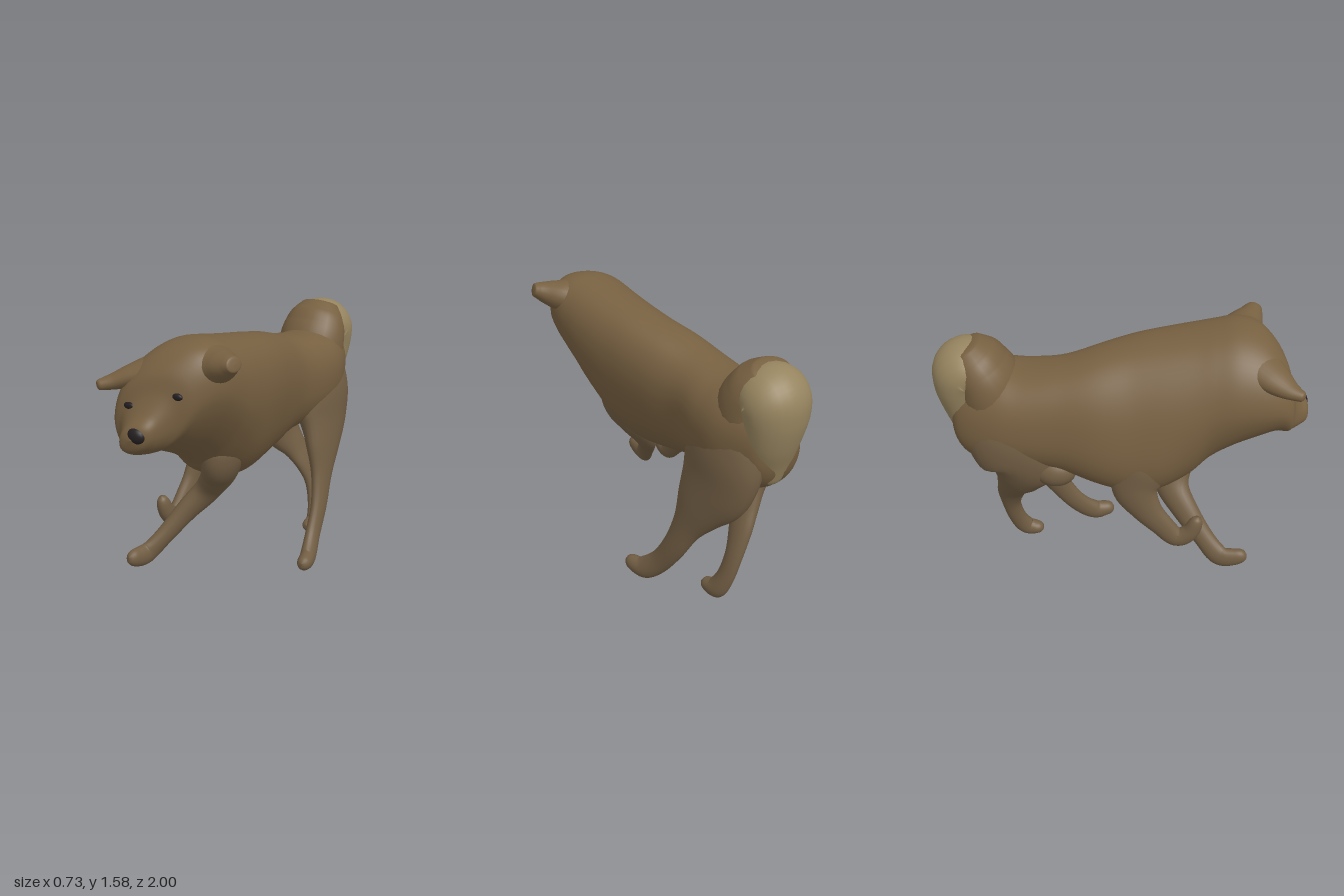
import * as THREE from 'three';

const FUR = 0x776041, LEG = 0x725e44, CREAM = 0x96845f, DARK = 0x241f20;
const X = new THREE.Vector3(1, 0, 0), Z = new THREE.Vector3(0, 0, 1);

// Catmull-Rom blend of rows of numbers, t from 0 to 1
function sample(rows, t) {
  const n = rows.length - 1, i = Math.min(Math.floor(t * n), n - 1), f = t * n - i;
  const [a, b, c, d] = [i - 1, i, i + 1, i + 2].map(k => rows[Math.min(Math.max(k, 0), n)]);
  return b.map((_, k) => 0.5 * (2 * b[k] + (c[k] - a[k]) * f
    + (2 * a[k] - 5 * b[k] + 4 * c[k] - d[k]) * f * f
    + (3 * b[k] - a[k] - 3 * c[k] + d[k]) * f * f * f));
}

// Smooth closed skin over rings; point(t, angle) returns a Vector3
function loft(name, color, steps, sides, point) {
  const pos = [], index = [];
  for (let i = 0; i <= steps; i++) {
    for (let j = 0; j < sides; j++) {
      pos.push(...point(i / steps, (j / sides) * Math.PI * 2).toArray());
      if (i === steps) continue;
      const k = (j + 1) % sides, a = i * sides + j, b = i * sides + k;
      index.push(a, b, b + sides, a, b + sides, a + sides);
    }
  }
  const geo = new THREE.BufferGeometry();
  geo.setAttribute('position', new THREE.Float32BufferAttribute(pos, 3));
  geo.setIndex(index);
  geo.computeVertexNormals();
  const mesh = new THREE.Mesh(geo, new THREE.MeshStandardMaterial({ color }));
  mesh.name = name;
  return mesh;
}

// Tapered limb along rows of [x, y, z, side radius, depth radius], with round ends
function limb(name, color, rows, ref = X) {
  const at = t => new THREE.Vector3(...sample(rows, t));
  return loft(name, color, 56, 24, (t, a) => {
    const r = sample(rows, t), e = 0.08;
    const d = Math.max(0, (e - t) / e, (t - 1 + e) / e);
    const round = Math.sqrt(Math.max(0, 1 - d * d));
    const T = at(Math.min(1, t + 0.01)).sub(at(Math.max(0, t - 0.01))).normalize();
    const S = ref.clone().addScaledVector(T, -ref.dot(T)).normalize();
    const U = T.clone().cross(S);
    return new THREE.Vector3(r[0], r[1], r[2])
      .addScaledVector(S, Math.cos(a) * r[3] * round)
      .addScaledVector(U, Math.sin(a) * r[4] * round);
  });
}

function blob(name, color, x, y, z, rx, ry, rz) {
  const mesh = new THREE.Mesh(new THREE.SphereGeometry(1, 24, 16),
    new THREE.MeshStandardMaterial({ color }));
  mesh.name = name;
  mesh.position.set(x, y, z);
  mesh.scale.set(rx, ry, rz);
  return mesh;
}

// Torso, neck and head as upright slices: [z, centre x, half width, top y, bottom y]
const BODY = [
  [-0.92, -0.06, 0, 1.04, 1.04], [-0.88, -0.06, 0.13, 1.2, 0.89], [-0.8, -0.06, 0.19, 1.3, 0.8],
  [-0.65, -0.055, 0.24, 1.335, 0.77], [-0.5, -0.06, 0.25, 1.335, 0.77], [-0.3, -0.075, 0.238, 1.37, 0.75],
  [-0.1, -0.07, 0.26, 1.43, 0.69], [0.1, -0.05, 0.275, 1.48, 0.65], [0.25, -0.035, 0.285, 1.51, 0.68],
  [0.4, -0.02, 0.285, 1.54, 0.76], [0.5, -0.01, 0.28, 1.56, 0.86], [0.6, -0.005, 0.28, 1.572, 0.94],
  [0.7, 0, 0.27, 1.555, 1.0], [0.78, 0, 0.245, 1.515, 1.04], [0.85, -0.01, 0.195, 1.44, 1.05],
  [0.885, -0.02, 0.135, 1.345, 1.055], [0.93, -0.025, 0.096, 1.265, 1.07],
  [0.975, -0.025, 0.066, 1.215, 1.1], [0.995, -0.025, 0, 1.16, 1.16],
];

function body() {
  const soft = v => Math.sign(v) * Math.pow(Math.abs(v), 0.88);
  const step = THREE.MathUtils.smoothstep;
  return loft('body', FUR, 110, 56, (t, a) => {
    const [z, cx, w, top, bottom] = sample(BODY, t);
    const mid = (top + bottom) / 2, half = Math.max(0, (top - bottom) / 2);
    const dy = soft(Math.sin(a)) * half;
    // the trunk leans, the neck narrows below, and the head turns and tilts
    const turn = step(z, 0.45, 0.88);
    const lean = 0.1 + 0.12 * step(z, -0.4, 0.1) - 0.12 * turn;
    const throat = step(z, 0.2, 0.5) * (1 - step(z, 0.8, 0.9));
    const narrow = 1 - 0.28 * throat * Math.max(0, -Math.sin(a));
    const x = cx + soft(Math.cos(a)) * Math.max(0, w) * narrow + lean * dy;
    return new THREE.Vector3(x, mid + dy + 0.25 * x * turn, z - 0.28 * x * turn);
  });
}

export function createModel() {
  const group = new THREE.Group();
  const trunk = body();
  group.add(trunk);

  // Legs, from the trunk down to the toes
  group.add(
    limb('frontLeftLeg', LEG, [
      [0.06, 1.0, 0.34, 0.08, 0.13], [0.025, 0.86, 0.34, 0.1, 0.15], [-0.035, 0.73, 0.3, 0.09, 0.125],
      [-0.11, 0.61, 0.31, 0.068, 0.095], [-0.19, 0.5, 0.39, 0.055, 0.075], [-0.265, 0.37, 0.5, 0.045, 0.06],
      [-0.315, 0.285, 0.59, 0.04, 0.064], [-0.325, 0.285, 0.67, 0.039, 0.056], [-0.325, 0.315, 0.745, 0.033, 0.04]]),
    limb('frontRightLeg', LEG, [
      [-0.2, 1.02, 0.16, 0.1, 0.15], [-0.235, 0.86, 0.13, 0.115, 0.16], [-0.28, 0.72, 0.11, 0.075, 0.13],
      [-0.305, 0.6, 0.17, 0.05, 0.09], [-0.315, 0.5, 0.255, 0.042, 0.07], [-0.32, 0.415, 0.345, 0.042, 0.06],
      [-0.32, 0.46, 0.42, 0.042, 0.05], [-0.32, 0.57, 0.46, 0.032, 0.035]]),
    limb('hindLeftLeg', LEG, [
      [0.02, 1.24, -0.66, 0.1, 0.17], [0.06, 0.99, -0.625, 0.13, 0.25], [0.095, 0.8, -0.595, 0.107, 0.24],
      [0.14, 0.64, -0.53, 0.075, 0.17], [0.175, 0.48, -0.465, 0.05, 0.1], [0.205, 0.31, -0.39, 0.04, 0.075],
      [0.225, 0.16, -0.29, 0.04, 0.066], [0.255, 0.07, -0.19, 0.045, 0.066], [0.275, 0.064, -0.12, 0.045, 0.052],
      [0.285, 0.08, -0.06, 0.034, 0.038]]),
    limb('hindRightLeg', LEG, [
      [-0.15, 1.15, -0.65, 0.12, 0.17], [-0.19, 0.95, -0.58, 0.125, 0.24], [-0.2, 0.81, -0.52, 0.105, 0.22],
      [-0.17, 0.68, -0.55, 0.08, 0.145], [-0.11, 0.56, -0.605, 0.058, 0.095], [-0.05, 0.45, -0.64, 0.045, 0.078],
      [0.0, 0.32, -0.655, 0.038, 0.057], [0.035, 0.18, -0.635, 0.038, 0.055], [0.058, 0.085, -0.59, 0.042, 0.06],
      [0.062, 0.07, -0.53, 0.042, 0.045], [0.062, 0.085, -0.485, 0.033, 0.032]]),
    blob('hindRightKnee', LEG, -0.215, 0.77, -0.34, 0.085, 0.095, 0.12),
  );

  // Curled tail: broad brown root and pale plume lying over the rump
  group.add(
    limb('tailRoot', FUR, [
      [-0.05, 1.08, -0.67, 0.2, 0.19], [-0.05, 1.23, -0.69, 0.205, 0.175],
      [-0.05, 1.33, -0.73, 0.19, 0.15], [-0.05, 1.4, -0.77, 0.155, 0.12], [-0.05, 1.46, -0.8, 0.1, 0.07]]),
    limb('tailPlume', CREAM, [
      [-0.05, 1.29, -0.67, 0.13, 0.1], [-0.05, 1.32, -0.76, 0.175, 0.15], [-0.05, 1.305, -0.82, 0.185, 0.165],
      [-0.05, 1.23, -0.84, 0.178, 0.15], [-0.05, 1.11, -0.83, 0.155, 0.13],
      [-0.06, 0.98, -0.8, 0.125, 0.11], [-0.06, 0.84, -0.76, 0.08, 0.1]]),
  );

  // Ears, broad at the base and pointing outwards
  group.add(
    limb('leftEar', FUR, [
      [0.11, 1.46, 0.6, 0.13, 0.1], [0.21, 1.465, 0.64, 0.11, 0.09],
      [0.28, 1.485, 0.675, 0.08, 0.068], [0.33, 1.503, 0.695, 0.056, 0.048], [0.362, 1.512, 0.705, 0.04, 0.034]], Z),
    limb('rightEar', FUR, [
      [-0.1, 1.41, 0.73, 0.12, 0.08], [-0.17, 1.39, 0.8, 0.09, 0.06],
      [-0.23, 1.37, 0.87, 0.055, 0.04], [-0.275, 1.36, 0.94, 0.022, 0.024]], Z),
  );

  // Nose, and eyes set onto the surface of the face
  group.add(blob('nose', DARK, -0.02, 1.17, 0.965, 0.056, 0.045, 0.036));
  trunk.updateMatrixWorld(true);
  for (const [name, x, y] of [['rightEye', -0.1, 1.285], ['leftEye', 0.125, 1.35]]) {
    const ray = new THREE.Raycaster(new THREE.Vector3(x, y, 3), new THREE.Vector3(0, 0, -1));
    const hit = ray.intersectObject(trunk)[0];
    group.add(blob(name, DARK, x, y, hit.point.z - 0.004, 0.032, 0.018, 0.014));
  }
  return group;
}
